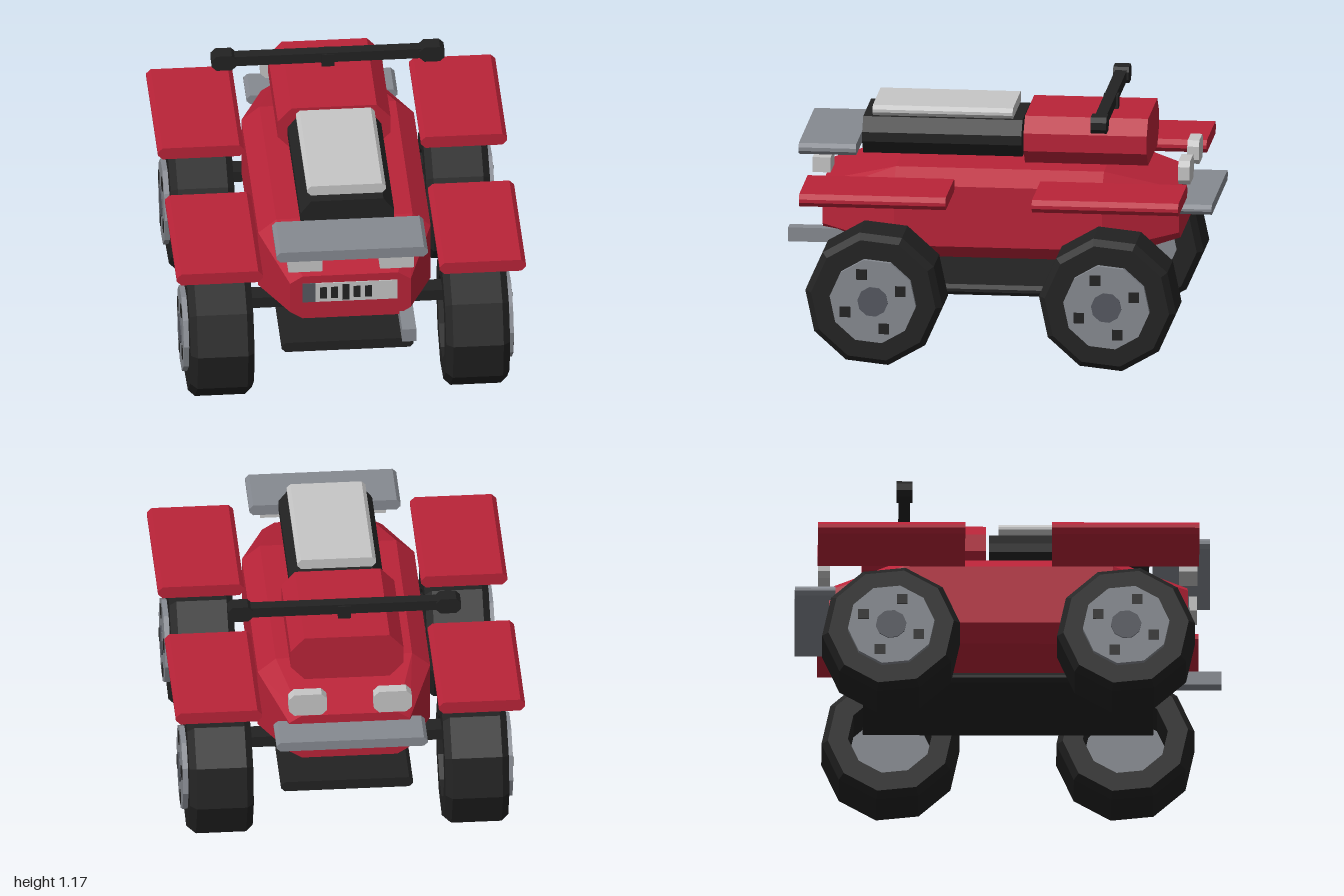
import * as THREE from 'three';

const mat = (name, color) => {
  const m = new THREE.MeshStandardMaterial({ color });
  m.name = name;
  return m;
};

// Flat facets for shared-vertex geometries
const facet = (geo) => {
  const g = geo.toNonIndexed();
  g.computeVertexNormals();
  return g;
};

// Block with a chamfered x-y section, running along z
function chamferGeo([x0, x1], [y0, y1], [z0, z1], cx = 0, cy = cx, steps = 1) {
  const pts = cx > 0
    ? [[x0 + cx, y0], [x1 - cx, y0], [x1, y0 + cy], [x1, y1 - cy],
       [x1 - cx, y1], [x0 + cx, y1], [x0, y1 - cy], [x0, y0 + cy]]
    : [[x0, y0], [x1, y0], [x1, y1], [x0, y1]];
  const shape = new THREE.Shape(pts.map(([x, y]) => new THREE.Vector2(x, y)));
  const g = new THREE.ExtrudeGeometry(shape, { depth: z1 - z0, steps, bevelEnabled: false });
  return g.translate(0, 0, z0);
}

export function createModel() {
  const red = mat('red paint', 0xb92338);
  const black = mat('black rubber', 0x222222);
  const grey = mat('grey metal', 0x868a91);
  const light = mat('light grey', 0xc6c6c6);
  const dark = mat('dark grey', 0x555860);

  const model = new THREE.Group();
  model.name = 'quadBike';
  const add = (name, geo, material, parent = model) => {
    const mesh = new THREE.Mesh(geo, material);
    mesh.name = name;
    parent.add(mesh);
    return mesh;
  };
  const block = (name, material, ...dims) => add(name, chamferGeo(...dims), material);

  // Body: octagonal hull that shrinks towards both ends
  const hull = chamferGeo([-0.405, 0.405], [0.44, 0.87], [-0.84, 0.84], 0.085, 0.07, 3);
  const p = hull.attributes.position;
  for (let i = 0; i < p.count; i++) {
    const z = p.getZ(i);
    if (Math.abs(z) > 0.5) {
      p.setX(i, p.getX(i) * 0.7);
      p.setY(i, 0.655 + (p.getY(i) - 0.655) * 0.54);
    } else {
      p.setZ(i, Math.sign(z) * 0.49);
    }
  }
  hull.computeVertexNormals();
  add('body', hull, red);

  // Seat, cushion and tank
  block('seat', black, [-0.22, 0.22], [0.895, 1.07], [-0.09, 0.66], 0.05, 0.065);
  block('seatCushion', light, [-0.185, 0.185], [1.075, 1.125], [-0.045, 0.615], 0.018);
  block('tank', red, [-0.265, 0.265], [0.875, 1.1], [-0.685, -0.105], 0.065, 0.07);

  // Handlebar
  block('handlebar', black, [-0.46, 0.46], [1.12, 1.17], [-0.515, -0.46], 0.015);
  block('handlebarStem', black, [-0.03, 0.03], [1.08, 1.165], [-0.525, -0.455]);

  // Racks, underside plate and exhaust
  block('frontRack', grey, [-0.355, 0.355], [0.922, 0.975], [0.675, 0.945], 0.018);
  block('rearRack', grey, [-0.355, 0.355], [0.68, 0.727], [-1, -0.81], 0.018);
  block('skidPlate', black, [-0.31, 0.31], [0.252, 0.302], [-0.68, 0.68], 0.018);
  block('exhaust', grey, [0.23, 0.297], [0.488, 0.555], [0.66, 1]);

  // Number plate with plain bars
  block('numberPlate', light, [-0.165, 0.22], [0.63, 0.732], [0.838, 0.845]);
  block('numberPlateEnd', dark, [-0.225, -0.165], [0.63, 0.732], [0.838, 0.845]);
  for (let i = -2; i <= 2; i++) {
    const x = -0.022 + i * 0.053, h = i === 0 ? 0.042 : 0.03;
    block('plateBar', black, [x - 0.016, x + 0.016], [0.68 - h, 0.68 + h], [0.845, 0.849]);
  }

  // Tyre ring and hub pieces, axis along x, shared by all wheels
  const phase = THREE.MathUtils.degToRad(282);
  const profile = [[0.2, -0.15], [0.295, -0.15], [0.325, -0.118], [0.325, 0.118],
    [0.295, 0.15], [0.2, 0.15], [0.2, -0.15]].map(([r, a]) => new THREE.Vector2(r, a));
  const tyreGeo = facet(new THREE.LatheGeometry(profile, 10, phase, Math.PI * 2)).rotateZ(-Math.PI / 2);
  const disc = (r, w) =>
    facet(new THREE.CylinderGeometry(r, r, w, 10, 1, false, phase)).rotateZ(-Math.PI / 2);
  const hubGeo = disc(0.204, 0.08);
  const capGeo = disc(0.072, 0.008);
  const holeGeo = new THREE.BoxGeometry(0.006, 0.05, 0.05);

  for (const s of [-1, 1]) {
    const span = (a, b) => (s > 0 ? [a, b] : [-b, -a]);
    block('handlebarGrip', black, span(0.43, 0.547), [1.105, 1.183], [-0.525, -0.45], 0.022);
    block('frontLamp', light, span(0.135, 0.295), [0.825, 0.897], [0.8, 0.885]);
    block('rearLamp', light, span(0.11, 0.288), [0.805, 0.918], [-0.89, -0.835], 0.025);

    for (const e of [-1, 1]) {
      const zSpan = (a, b) => (e > 0 ? [a, b] : [-b, -a]);
      block('fender', red, span(0.415, 0.82), [0.785, 0.845], zSpan(0.203, 0.893), 0.022);
      block('axleArm', black, span(0.18, 0.47), [0.45, 0.505], zSpan(0.5, 0.595), 0.015);

      const wheel = new THREE.Group();
      wheel.name = 'wheel';
      wheel.position.set(s * 0.6, 0.328, e * 0.55);
      add('tyre', tyreGeo, black, wheel);
      add('hub', hubGeo, grey, wheel).position.x = s * 0.135;
      add('hubCap', capGeo, dark, wheel).position.x = s * 0.177;
      for (let k = 0; k < 4; k++) {
        const a = THREE.MathUtils.degToRad(22 + k * 90);
        add('hubHole', holeGeo, black, wheel)
          .position.set(s * 0.176, Math.sin(a) * 0.14, -Math.cos(a) * 0.14);
      }
      model.add(wheel);
    }
  }
  return model;
}
